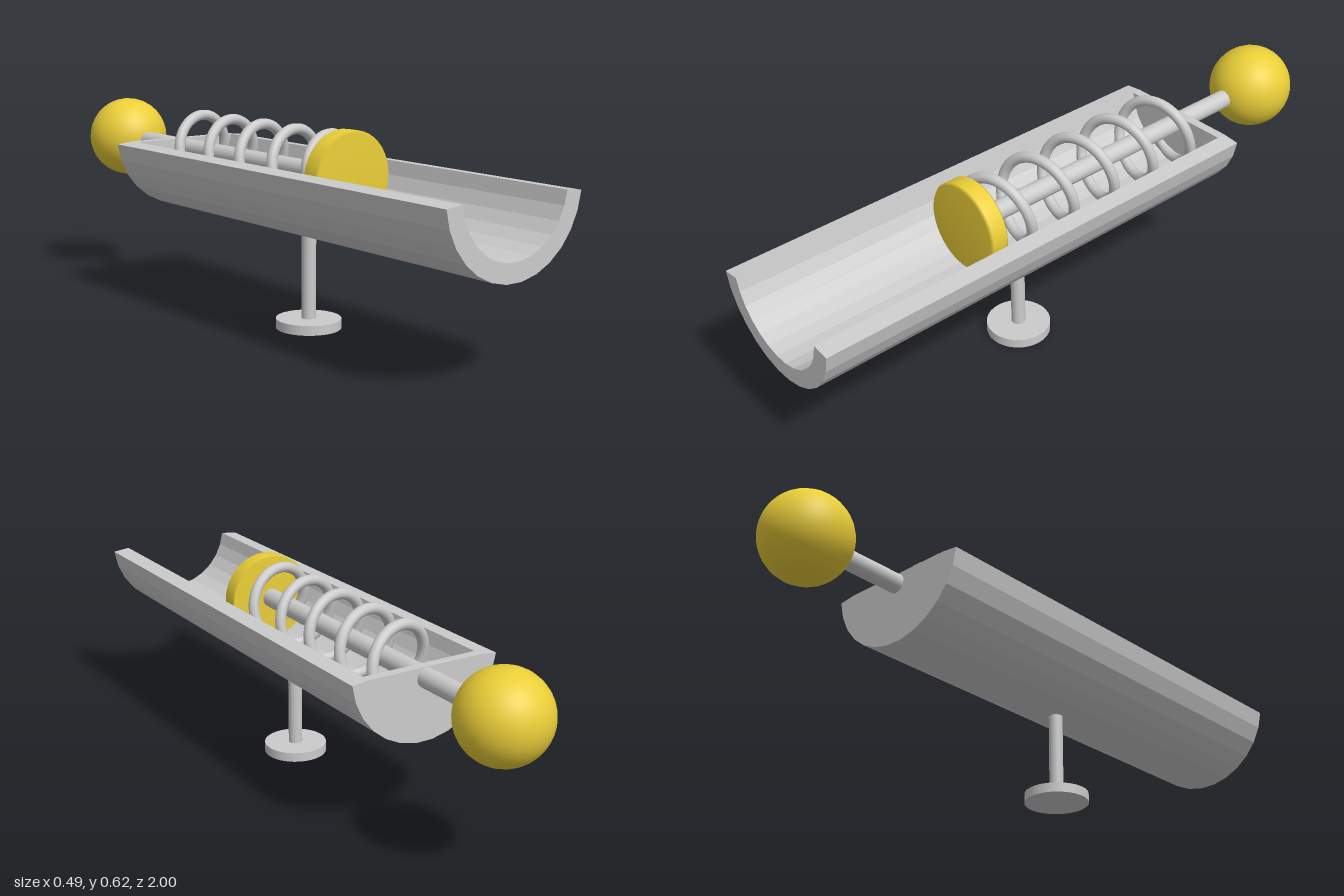
import * as THREE from 'three';

const grey = new THREE.MeshStandardMaterial({ color: 0xcccccc });
const yellow = new THREE.MeshStandardMaterial({ color: 0xeace38 });

const TROUGH_Y = 0.535, AXIS_Y = 0.482;
const FRONT = 1, BACK = -0.53, WALL = 0.03;

// Points of the lower arc, from the right rim to the left rim
function arc(radius) {
  const step = Math.PI * 2 / 28, points = [];
  for (let i = 0; i <= 13; i++) {
    const a = -Math.PI / 2 + (i - 6.5) * step;
    points.push(new THREE.Vector2(Math.cos(a) * radius, TROUGH_Y + Math.sin(a) * radius));
  }
  return points;
}

function extrude(points, z0, z1) {
  const geometry = new THREE.ExtrudeGeometry(new THREE.Shape(points), { depth: z1 - z0, bevelEnabled: false });
  return geometry.translate(0, 0, z0);
}

// Cylinder lying along z
function rodGeometry(radius, z0, z1) {
  return new THREE.CylinderGeometry(radius, radius, z1 - z0, 24)
    .rotateX(Math.PI / 2).translate(0, AXIS_Y, (z0 + z1) / 2);
}

// Helix around the plunger rod
class Helix extends THREE.Curve {
  getPoint(t, target = new THREE.Vector3()) {
    const z = 0.315 - t * 0.82;
    const a = -(z + 0.405) / 0.165 * Math.PI * 2;
    return target.set(0.006 + 0.115 * Math.sin(a), AXIS_Y + 0.002 + 0.115 * Math.cos(a), z);
  }
}

export function createModel() {
  const model = new THREE.Group();
  const add = (name, geometry, material = grey) => {
    const mesh = new THREE.Mesh(geometry, material);
    mesh.name = name;
    model.add(mesh);
  };

  // Half-pipe trough with a closed back end
  const outer = arc(0.245), inner = arc(0.19);
  add('trough', extrude([...outer, ...inner.slice().reverse()], BACK + WALL, FRONT));
  add('troughBackWall', extrude([...outer, inner[13], inner[0]], BACK, BACK + WALL));

  // Stand
  add('post', new THREE.CylinderGeometry(0.022, 0.022, 0.28, 24).translate(0, 0.16, 0.17));
  add('base', new THREE.CylinderGeometry(0.1, 0.1, 0.03, 32).translate(0, 0.015, 0.17));

  // Plunger: rod, ball handle and softly shaded pushing disc
  add('plungerRod', rodGeometry(0.03, -0.76, 0.33));
  add('handleBall', new THREE.SphereGeometry(0.135, 32, 24)
    .rotateX(Math.PI / 2).translate(0, 0.485, -0.865), yellow);
  const disc = [[0, -0.03], [0.136, -0.03], [0.139, -0.026], [0.139, 0.022], [0.132, 0.03], [0, 0.03]]
    .map(([r, h]) => new THREE.Vector2(r, h));
  add('plungerDisc', new THREE.LatheGeometry(disc, 40)
    .rotateX(Math.PI / 2).translate(0, AXIS_Y, 0.345), yellow);

  // Coil spring between the back wall and the disc
  add('spring', new THREE.TubeGeometry(new Helix(), 240, 0.017, 12));

  return model;
}
